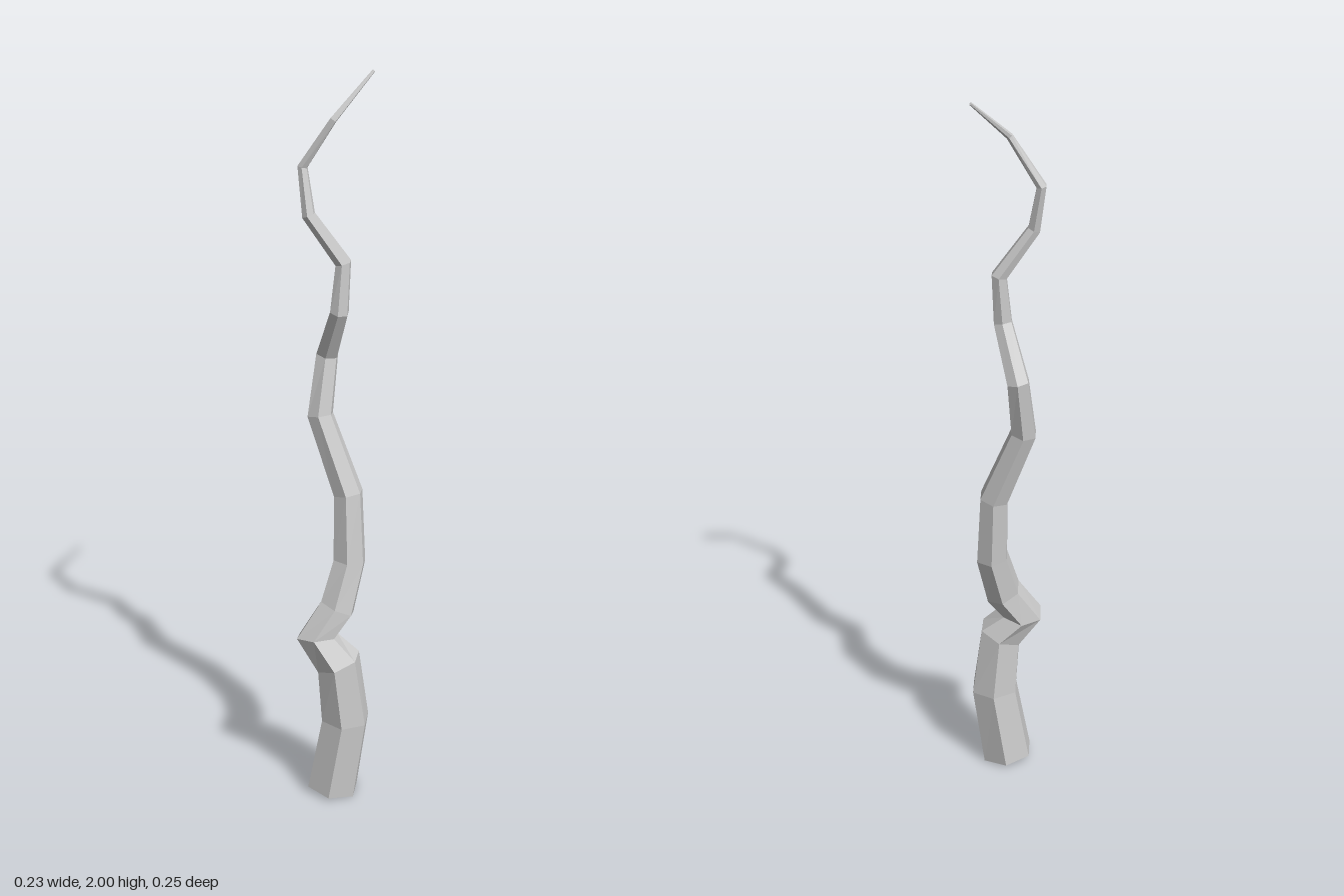
import * as THREE from 'three';

// Centreline points and radius: x, y, z, r
const RINGS = [
  [0.013, 0.014, 0.045, 0.073],
  [0.044, 0.235, 0.028, 0.068],
  [0.033, 0.41, 0.043, 0.063],
  [-0.021, 0.482, 0.068, 0.058],
  [0.012, 0.562, 0.022, 0.051],
  [0.022, 0.69, -0.018, 0.046],
  [0.008, 0.88, -0.03, 0.041],
  [-0.073, 1.09, -0.014, 0.036],
  [-0.077, 1.25, -0.049, 0.031],
  [-0.01, 1.39, -0.015, 0.026],
  [-0.006, 1.52, -0.026, 0.022],
  [-0.077, 1.645, 0.025, 0.018],
  [-0.102, 1.765, 0.017, 0.014],
  [-0.029, 1.89, -0.015, 0.009],
  [0.011, 1.998, -0.126, 0.004],
];
const SIDES = 6;

// Hexagonal tube whose rings tilt with the bends of the centreline
function crookedTube(rings, sides) {
  const centres = rings.map(([x, y, z]) => new THREE.Vector3(x, y, z));
  const last = rings.length - 1;
  const positions = [];
  const index = [];
  const direction = (i) => centres[i + 1].clone().sub(centres[i]).normalize();

  rings.forEach((ring, i) => {
    const tangent = direction(Math.min(i, last - 1));
    if (i > 0 && i < last) tangent.add(direction(i - 1)).normalize();
    const across = new THREE.Vector3(1, 0, 0);
    across.addScaledVector(tangent, -across.dot(tangent)).normalize();
    const forward = across.clone().cross(tangent);
    for (let s = 0; s < sides; s++) {
      const a = (s / sides) * Math.PI * 2;
      const p = centres[i].clone()
        .addScaledVector(across, Math.cos(a) * ring[3])
        .addScaledVector(forward, Math.sin(a) * ring[3]);
      positions.push(p.x, p.y, p.z);
    }
  });

  // Side faces
  for (let i = 0; i < last; i++) {
    for (let s = 0; s < sides; s++) {
      const a = i * sides + s;
      const b = i * sides + ((s + 1) % sides);
      index.push(a, a + sides, b, b, a + sides, b + sides);
    }
  }
  // End caps
  const top = last * sides;
  for (let s = 1; s < sides - 1; s++) {
    index.push(0, s, s + 1);
    index.push(top, top + s + 1, top + s);
  }

  const geometry = new THREE.BufferGeometry();
  geometry.setAttribute('position', new THREE.Float32BufferAttribute(positions, 3));
  geometry.setIndex(index);
  geometry.computeVertexNormals();
  return geometry;
}

export function createModel() {
  const group = new THREE.Group();
  group.name = 'crookedBranch';
  const material = new THREE.MeshStandardMaterial({ color: 0xcccccc, flatShading: true });
  const branch = new THREE.Mesh(crookedTube(RINGS, SIDES), material);
  branch.name = 'branch';
  group.add(branch);
  return group;
}
